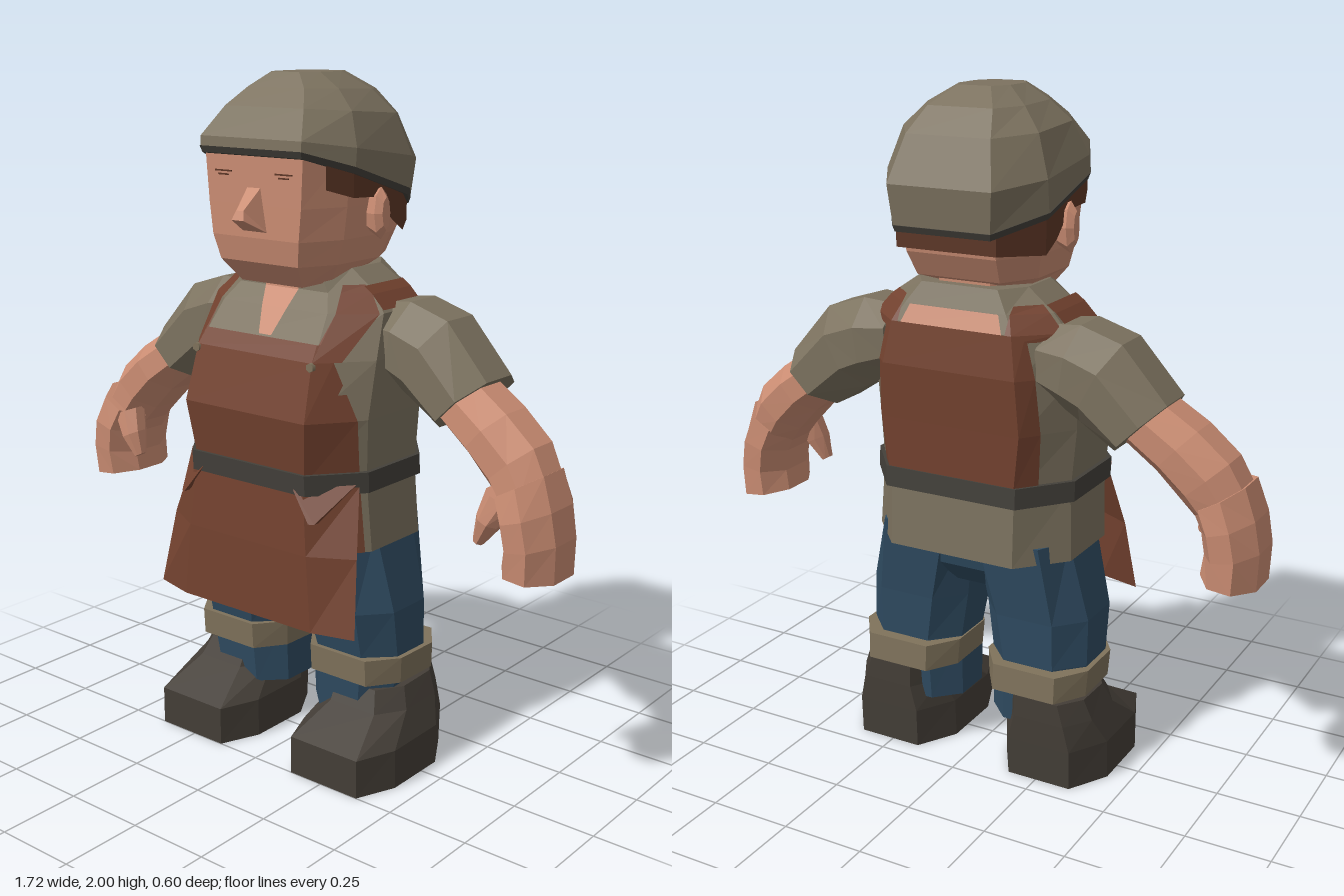
import * as THREE from 'three';

const mat = (name, color) => Object.assign(new THREE.MeshStandardMaterial({ color }), { name });
const M = {
  skin: mat('skin', 0xcb8d73), shirt: mat('shirt khaki', 0x7c725f), apron: mat('apron brown', 0x73422f),
  jeans: mat('denim blue', 0x2f4b61), boot: mat('boot dark', 0x443e37), cuff: mat('cuff tan', 0x7f725b),
  belt: mat('belt grey', 0x43403a), hair: mat('hair brown', 0x5c3626),
};
const lerp = THREE.MathUtils.lerp;

// faceted mesh from a list of triangles
function facets(name, tris, material) {
  const g = new THREE.BufferGeometry();
  g.setAttribute('position', new THREE.Float32BufferAttribute(tris.flat(2), 3));
  g.computeVertexNormals();
  const m = new THREE.Mesh(g, material);
  m.name = name;
  return m;
}

// closed solid through convex rings, turned outward by its signed volume
function loft(name, rings, material) {
  const t = [], n = rings[0].length;
  for (let r = 0; r + 1 < rings.length; r++) for (let i = 0; i < n; i++) {
    const j = (i + 1) % n, [a, b, c, d] = [rings[r][i], rings[r][j], rings[r + 1][j], rings[r + 1][i]];
    t.push([a, b, c], [a, c, d]);
  }
  const end = rings.at(-1);
  for (let i = 1; i + 1 < n; i++) {
    t.push([rings[0][0], rings[0][i + 1], rings[0][i]], [end[0], end[i], end[i + 1]]);
  }
  const V = p => new THREE.Vector3(...p), o = V(rings[0][0]);
  let vol = 0;
  for (const [a, b, c] of t) vol += V(a).sub(o).dot(V(b).sub(o).cross(V(c).sub(o)));
  return facets(name, vol < 0 ? t.map(([a, b, c]) => [a, c, b]) : t, material);
}

// open sheet: rows run bottom to top, columns left to right as seen from outside
function sheet(name, rows, material) {
  const t = [];
  for (let r = 0; r + 1 < rows.length; r++) for (let i = 0; i + 1 < rows[r].length; i++) {
    const [a, b, c, d] = [rows[r][i], rows[r][i + 1], rows[r + 1][i + 1], rows[r + 1][i]];
    t.push([a, b, c], [a, c, d]);
  }
  return facets(name, t, material);
}

// eight-sided horizontal ring; may tilt from yf at the front to yb at the back
function oct(yf, w, a, zf, zb, b = a, yb = yf, cx = 0, k = 0.27) {
  const zs = lerp(zf, zb, k), zt = lerp(zf, zb, 1 - k);
  return [[a, zf], [w, zs], [w, zt], [b, zb], [-b, zb], [-w, zt], [-w, zs], [-a, zf]]
    .map(([x, z]) => [cx + x, lerp(yf, yb, (zf - z) / (zf - zb)), z]);
}

// eight-sided limb ring across a direction sloping down by deg
function limbRing(s, [x, y, z, h, d, deg]) {
  const t = THREE.MathUtils.degToRad(deg);
  return Array.from({ length: 8 }, (_, i) => {
    const p = (i + 0.5) * Math.PI / 4, u = h * 1.08 * Math.cos(p), v = d * 1.08 * Math.sin(p);
    return [s * (x + u * Math.sin(t)), y + u * Math.cos(t), z + v];
  });
}

// torso sections: y, half width, half flat width, front z, back z
const TORSO = [
  [0.69, 0.32, 0.2, 0.24, -0.25], [0.9, 0.31, 0.2, 0.255, -0.24], [1.08, 0.325, 0.22, 0.28, -0.245],
  [1.24, 0.325, 0.21, 0.235, -0.253], [1.36, 0.305, 0.19, 0.15, -0.235],
  [1.41, 0.26, 0.16, 0.11, -0.215], [1.47, 0.175, 0.12, 0.1, -0.19],
];
function section(y) {
  let i = 0;
  while (i < TORSO.length - 2 && y > TORSO[i + 1][0]) i++;
  const [p, q] = [TORSO[i], TORSO[i + 1]];
  return p.map((v, k) => lerp(v, q[k], (y - p[0]) / (q[0] - p[0])));
}
// painted panel lying on the torso, rows of [y, x0, x1]; side is 1 front, -1 back
function panel(name, rows, side, material, lift = 0.007) {
  return sheet(name, rows.map(([y, x0, x1]) => {
    const [, w, a, zf, zb] = section(y), at = x => {
      const f = Math.max(0, (Math.abs(x) - a) / (w - a)), z = side > 0 ? zf : zb;
      return [x, y, z - f * side * 0.27 * (zf - zb) + side * lift];
    };
    const cols = [x0, THREE.MathUtils.clamp(-a, x0, x1), THREE.MathUtils.clamp(a, x0, x1), x1].map(at);
    return side > 0 ? cols : cols.reverse();
  }), material);
}

export function createModel() {
  const model = new THREE.Group();
  model.name = 'apronWorker';
  const add = (...m) => model.add(...m);

  // torso, apron bib, back panel and collar
  add(loft('torso', TORSO.map(([y, w, a, f, b]) => oct(y, w, a, f, b)), M.shirt));
  add(panel('apronBib', [[0.69, -0.31, 0.31], [0.9, -0.3, 0.3], [1.08, -0.31, 0.31], [1.24, -0.25, 0.25], [1.285, -0.22, 0.22]], 1, M.apron));
  add(panel('apronBack', [[0.92, -0.25, 0.25], [1.08, -0.26, 0.26], [1.24, -0.25, 0.25], [1.36, -0.22, 0.22]], -1, M.apron));
  add(panel('napePatch', [[1.36, -0.16, 0.16], [1.41, -0.14, 0.14]], -1, M.skin));
  add(panel('openCollar', [[1.29, -0.01, 0.035], [1.36, -0.04, 0.05], [1.41, -0.06, 0.06], [1.465, -0.07, 0.07]], 1, M.skin));

  // belt and hanging apron skirt
  add(loft('belt', [oct(0.87, 0.325, 0.21, 0.272, -0.255), oct(0.93, 0.325, 0.21, 0.276, -0.252)], M.belt));
  const skirt = [[0.48, 0.37, 0.24, 0.285, 0.25], [0.7, 0.345, 0.22, 0.28, 0.21], [0.89, 0.31, 0.2, 0.268, 0.155]]
    .map(([y, w, a, z, zs]) => [[-w, y, zs], [-a, y, z], [a, y, z], [w, y, zs]]);
  add(sheet('apronSkirt', skirt, M.apron));
  add(sheet('apronSkirtLining', skirt.map(r => r.map(([x, y, z]) => [x, y, z - 0.008]).reverse()), M.apron));

  // head
  add(loft('neck', [oct(1.38, 0.13, 0.08, 0.08, -0.16), oct(1.5, 0.13, 0.08, 0.08, -0.16)], M.skin));
  add(loft('head', [
    oct(1.425, 0.15, 0.11, 0.16, -0.14, 0.1, 1.47), oct(1.49, 0.19, 0.14, 0.215, -0.195, 0.13),
    oct(1.56, 0.21, 0.155, 0.23, -0.235, 0.14), oct(1.65, 0.22, 0.165, 0.232, -0.25, 0.14),
    oct(1.8, 0.228, 0.175, 0.235, -0.25, 0.14)], M.skin));
  const noseTip = [[-0.022, 1.615, 0.3], [0.022, 1.615, 0.3]];
  const noseBase = [[-0.045, 1.575, 0.225], [0.045, 1.575, 0.225], [0.025, 1.705, 0.225], [-0.025, 1.705, 0.225]];
  add(loft('nose', [noseBase, [...noseTip, [0.012, 1.64, 0.29], [-0.012, 1.64, 0.29]]], M.skin));

  // hair under the cap: x, z and lower edge around one half
  const half = [[0.208, 0.18, 1.7], [0.24, 0.1, 1.675], [0.24, 0, 1.67], [0.24, -0.075, 1.6], [0.236, -0.13, 1.565], [0.155, -0.262, 1.575]];
  const line = [...half, ...half.map(([x, z, y]) => [-x, z, y]).reverse()];
  add(sheet('hair', [line.map(([x, z, y]) => [x, y, z]), line.map(([x, z]) => [x, 1.75 + 0.315 * z, z])], M.hair));

  // tilted cap
  add(loft('cap', [
    oct(1.8, 0.25, 0.18, 0.25, -0.285, 0.15, 1.635), oct(1.83, 0.25, 0.18, 0.248, -0.298, 0.16, 1.75),
    oct(1.91, 0.21, 0.14, 0.19, -0.245, 0.13, 1.88), oct(1.96, 0.15, 0.1, 0.14, -0.18, 0.1, 1.95),
    oct(2.0, 0.08, 0.05, 0.1, -0.1)], M.shirt));
  add(loft('capRim', [oct(1.785, 0.246, 0.178, 0.245, -0.28, 0.148, 1.62), oct(1.803, 0.252, 0.181, 0.252, -0.287, 0.151, 1.638)], M.belt));

  for (const s of [1, -1]) {
    const side = s > 0 ? 'left' : 'right';

    // face details
    for (const y of [1.738, 1.728]) {
      const eye = new THREE.Mesh(new THREE.BoxGeometry(y > 1.73 ? 0.06 : 0.035, 0.004, 0.008), M.hair);
      eye.position.set(s * 0.108, y, 0.234);
      eye.name = side + 'Eye';
      add(eye);
    }
    add(loft(side + 'Ear', [[0.2, 0.02, 0.045], [0.25, 0.032, 0.072], [0.268, 0.018, 0.045]].map(([x, d, h]) =>
      Array.from({ length: 8 }, (_, i) => [s * x, 1.625 + h * Math.cos(i * Math.PI / 4), -0.01 + d * Math.sin(i * Math.PI / 4)])), M.skin));

    // apron straps, buttons and belt folds
    const strap = (name, rows, dir) => add(panel(name, rows.map(([y, a, b]) => s > 0 ? [y, a, b] : [y, -b, -a]), dir, M.apron));
    strap(side + 'FrontStrap', [[1.24, 0.2, 0.265], [1.36, 0.21, 0.3], [1.41, 0.19, 0.255], [1.43, 0.185, 0.23]], 1);
    strap(side + 'BackStrap', [[1.34, 0.17, 0.25], [1.36, 0.17, 0.3], [1.41, 0.17, 0.255], [1.43, 0.17, 0.23]], -1);
    const top = [[1.37, 0.307], [1.41, 0.268], [1.43, 0.24]].map(([y, x]) => {
      const r = [[s * x, y, 0.05], [s * x, y, -0.13]];
      return s > 0 ? r : r.reverse();
    });
    add(sheet(side + 'ShoulderStrap', top, M.apron));
    const button = new THREE.Mesh(new THREE.CylinderGeometry(0.013, 0.013, 0.012, 6), M.cuff);
    button.rotation.x = Math.PI / 2;
    button.position.set(s * 0.21, 1.23, 0.246);
    button.name = side + 'Button';
    add(button);
    add(loft(side + 'BeltFold', [
      [[s * 0.17, 0.885, 0.275], [s * 0.31, 0.9, 0.17], [s * 0.29, 0.885, 0.15], [s * 0.17, 0.885, 0.24]],
      [[s * 0.235, 0.8, 0.288], [s * 0.25, 0.8, 0.28], [s * 0.25, 0.8, 0.26], [s * 0.235, 0.8, 0.265]]], M.apron));

    // arm: x, y, z, half height, half depth, slope
    const limb = (name, rings, m) => add(loft(side + name, rings.map(r => limbRing(s, r)), m));
    limb('Sleeve', [[0.24, 1.28, -0.08, 0.1, 0.125, 5], [0.33, 1.265, -0.08, 0.125, 0.145, 8],
      [0.41, 1.235, -0.08, 0.13, 0.148, 28], [0.53, 1.125, -0.078, 0.105, 0.15, 45]], M.shirt);
    limb('Forearm', [[0.5, 1.15, -0.06, 0.08, 0.115, 45], [0.62, 1.065, -0.05, 0.085, 0.12, 42],
      [0.7, 0.99, -0.045, 0.09, 0.115, 48], [0.745, 0.92, -0.035, 0.08, 0.11, 60]], M.skin);
    limb('Hand', [[0.738, 0.945, -0.03, 0.085, 0.125, 60], [0.768, 0.87, -0.025, 0.08, 0.135, 72],
      [0.782, 0.79, -0.025, 0.08, 0.13, 80], [0.776, 0.705, -0.028, 0.082, 0.125, 96]], M.skin);
    limb('Thumb', [[0.71, 0.92, 0.045, 0.05, 0.045, 110], [0.675, 0.85, 0.06, 0.035, 0.04, 115],
      [0.645, 0.785, 0.065, 0.015, 0.02, 120]], M.skin);

    // leg, rolled cuff and boot
    add(loft(side + 'Leg', [
      oct(0.16, 0.14, 0.07, 0.1, -0.16, 0.07, 0.16, s * 0.195), oct(0.36, 0.155, 0.08, 0.115, -0.17, 0.08, 0.36, s * 0.21),
      oct(0.5, 0.165, 0.09, 0.145, -0.175, 0.09, 0.5, s * 0.2), oct(0.74, 0.15, 0.1, 0.17, -0.2, 0.1, 0.74, s * 0.155)], M.jeans));
    add(loft(side + 'Cuff', [oct(0.28, 0.16, 0.1, 0.125, -0.21, 0.1, 0.275, s * 0.215),
      oct(0.36, 0.165, 0.1, 0.13, -0.205, 0.1, 0.355, s * 0.215)], M.cuff));
    add(loft(side + 'Boot', [
      oct(0, 0.17, 0.12, 0.25, -0.19, 0.1, 0, s * 0.26), oct(0.115, 0.168, 0.12, 0.25, -0.195, 0.1, 0.12, s * 0.26),
      oct(0.195, 0.135, 0.08, 0.115, -0.197, 0.08, 0.2, s * 0.26), oct(0.255, 0.12, 0.07, 0.085, -0.195, 0.07, 0.265, s * 0.25)], M.boot));
  }

  // seat of the trousers
  add(loft('seat', [oct(0.56, 0.1, 0.06, 0.08, -0.12), oct(0.63, 0.27, 0.18, 0.15, -0.18), oct(0.72, 0.29, 0.2, 0.17, -0.2)], M.jeans));
  return model;
}
